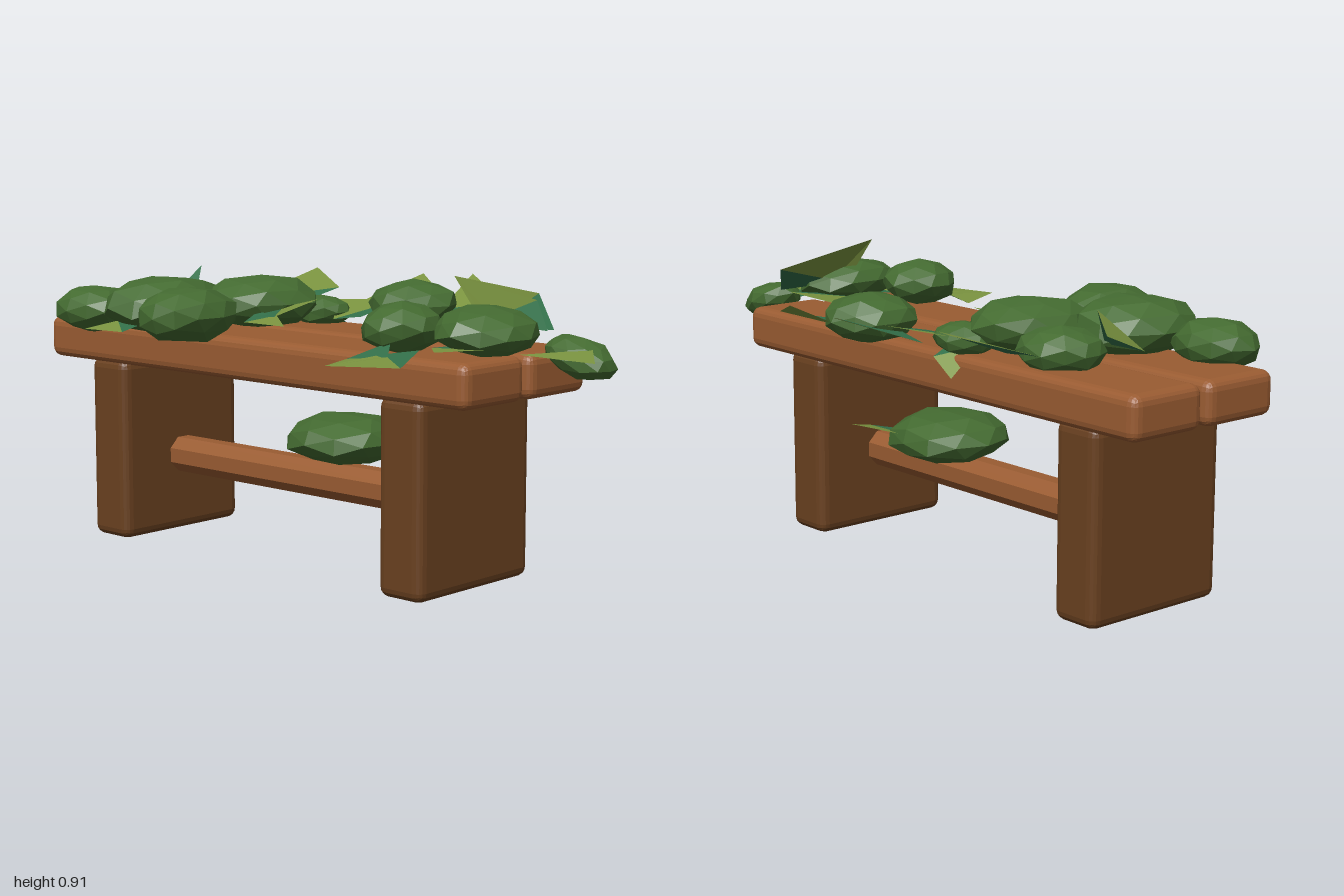
import * as THREE from 'three';
import { RoundedBoxGeometry } from 'three/addons/geometries/RoundedBoxGeometry.js';

const mat = (name, color, extra = {}) => {
  const m = new THREE.MeshStandardMaterial({ color, flatShading: true, ...extra });
  m.name = name;
  return m;
};

export function createModel() {
  const model = new THREE.Group();
  model.name = 'overgrownBench';
  const wood = mat('seatWood', 0x9a5c32);
  const darkWood = mat('legWood', 0x6a4120);
  const bushGreen = mat('bushGreen', 0x446b31);
  const leafLight = mat('leafLight', 0x7b9440, { side: THREE.DoubleSide });
  const leafDark = mat('leafDark', 0x33704a, { side: THREE.DoubleSide });

  const add = (name, geometry, material, parent = model) => {
    const mesh = new THREE.Mesh(geometry, material);
    mesh.name = name;
    parent.add(mesh);
    return mesh;
  };

  // chamfered box given by its extents
  const board = (name, material, x0, x1, y0, y1, z0, z1, bevel) =>
    add(name, new RoundedBoxGeometry(x1 - x0, y1 - y0, z1 - z0, 2, bevel), material)
      .position.set((x0 + x1) / 2, (y0 + y1) / 2, (z0 + z1) / 2);

  // seat planks and slab legs
  board('frontPlank', wood, -1, 0.74, 0.57, 0.7, 0.06, 0.325, 0.03);
  board('backPlank', wood, -1, 0.74, 0.57, 0.7, -0.222, 0.042, 0.03);
  board('rightLeg', darkWood, -0.827, -0.665, 0.005, 0.58, -0.192, 0.303, 0.03);
  board('leftLeg', darkWood, 0.403, 0.565, 0.005, 0.58, -0.192, 0.303, 0.03);

  // octagonal rail between the legs
  const rail = add('stretcherRail', new THREE.CylinderGeometry(0.06, 0.06, 1.24, 8)
    .rotateY(Math.PI / 8).rotateZ(Math.PI / 2), wood);
  rail.position.set(-0.13, 0.255, 0.055);

  // faceted bush clumps: centre, radii, yaw, roll
  const bushes = new THREE.Group();
  bushes.name = 'bushes';
  model.add(bushes);
  [
    [-0.775, 0.74, 0.325, 0.14, 0.073, 0.115, 0, 0],
    [-0.525, 0.765, 0.245, 0.165, 0.09, 0.205, -0.2, 0],
    [-0.345, 0.77, 0.01, 0.15, 0.083, 0.195, -0.2, 0],
    [-0.3, 0.76, 0.365, 0.13, 0.086, 0.175, 0.15, 0],
    [-0.575, 0.74, -0.085, 0.13, 0.07, 0.11, 0.3, 0],
    [-0.245, 0.735, -0.155, 0.1, 0.05, 0.08, 0.2, 0],
    [0.04, 0.77, -0.27, 0.14, 0.073, 0.145, 0, 0],
    [0.44, 0.77, 0.24, 0.12, 0.072, 0.125, 0.2, 0],
    [0.64, 0.765, 0.105, 0.14, 0.07, 0.18, 0.1, -0.1],
    [0.835, 0.692, -0.06, 0.112, 0.055, 0.085, 0, -0.3],
    [0.01, 0.377, 0, 0.18, 0.077, 0.19, 0, 0],
  ].forEach(([x, y, z, rx, ry, rz, yaw, roll], i) => {
    const g = new THREE.IcosahedronGeometry(1, 1);
    const p = g.attributes.position;
    for (let k = 0; k < p.count; k++) {
      const v = new THREE.Vector3().fromBufferAttribute(p, k);
      const s = 1 + 0.07 * Math.sin(v.x * 5 + i * 1.7) * Math.cos(v.z * 4 + v.y * 3 + i);
      p.setXYZ(k, v.x * s * rx, v.y * s * ry, v.z * s * rz);
    }
    const bush = add('bush' + (i + 1), g, bushGreen, bushes);
    bush.position.set(x, y, z);
    bush.rotation.set(0, yaw, roll);
  });

  // folded leaves: a light outer triangle and a dark one towards the root
  const leaves = new THREE.Group();
  leaves.name = 'leaves';
  model.add(leaves);
  const triangle = (name, pts, material) => {
    const g = new THREE.BufferGeometry().setFromPoints(pts);
    g.computeVertexNormals();
    add(name, g, material, leaves);
  };
  const leaf = (...corners) => {
    const [tip, side, rootB, rootA] = corners.map((c) => new THREE.Vector3(...c));
    triangle('leafTip', [tip, side, rootA], leafLight);
    triangle('leafBase', [side, rootB, rootA], leafDark);
  };

  // leaves around the big clump
  leaf([-0.57, 0.83, -0.48], [-0.33, 0.79, -0.33], [-0.43, 0.72, -0.16], [-0.62, 0.74, -0.19]);
  leaf([-0.73, 0.8, -0.06], [-0.66, 0.86, -0.03], [-0.58, 0.74, 0.08], [-0.7, 0.73, 0.12]);
  leaf([-0.02, 0.735, 0.24], [-0.15, 0.75, 0.14], [-0.27, 0.75, 0.1], [-0.22, 0.73, 0.21]);
  leaf([-0.12, 0.79, -0.01], [-0.13, 0.75, 0.17], [-0.25, 0.74, 0.15], [-0.24, 0.76, 0.02]);
  leaf([-0.64, 0.7, 0.48], [-0.49, 0.7, 0.46], [-0.5, 0.72, 0.35], [-0.6, 0.72, 0.38]);
  leaf([-0.31, 0.64, -0.26], [-0.22, 0.69, -0.25], [-0.2, 0.73, -0.14], [-0.3, 0.72, -0.15]);
  // leaves around the rear clump
  leaf([0.03, 0.84, -0.57], [0.29, 0.77, -0.42], [0.2, 0.73, -0.22], [0.08, 0.75, -0.36]);
  leaf([-0.165, 0.83, -0.555], [0.01, 0.79, -0.43], [-0.06, 0.74, -0.24], [-0.25, 0.74, -0.31]);
  leaf([-0.28, 0.76, -0.26], [-0.06, 0.77, -0.33], [-0.06, 0.73, -0.14], [-0.14, 0.72, -0.1]);
  // leaves around the end clump
  leaf([0.315, 0.74, -0.12], [0.55, 0.77, -0.2], [0.64, 0.73, 0.02], [0.52, 0.73, 0.04]);
  leaf([0.52, 0.91, 0.11], [0.565, 0.84, -0.22], [0.69, 0.75, -0.13], [0.6, 0.77, 0.04]);
  leaf([0.52, 0.91, 0.11], [0.62, 0.83, -0.14], [0.69, 0.75, -0.1], [0.58, 0.78, 0.06]);
  leaf([1.0, 0.705, 0.1], [0.89, 0.72, -0.04], [0.77, 0.7, -0.04], [0.76, 0.71, 0.12]);
  leaf([0.66, 0.73, 0.36], [0.74, 0.73, 0.2], [0.62, 0.73, 0.1], [0.54, 0.72, 0.23]);
  leaf([0.45, 0.695, 0.565], [0.655, 0.7, 0.49], [0.6, 0.73, 0.35], [0.48, 0.71, 0.36]);
  leaf([0.45, 0.695, 0.565], [0.37, 0.69, 0.39], [0.47, 0.74, 0.32], [0.53, 0.71, 0.4]);
  // leaf beside the clump on the rail
  leaf([0.1, 0.44, -0.3], [0.19, 0.4, -0.16], [0.14, 0.37, -0.02], [0.02, 0.38, -0.1]);

  return model;
}
